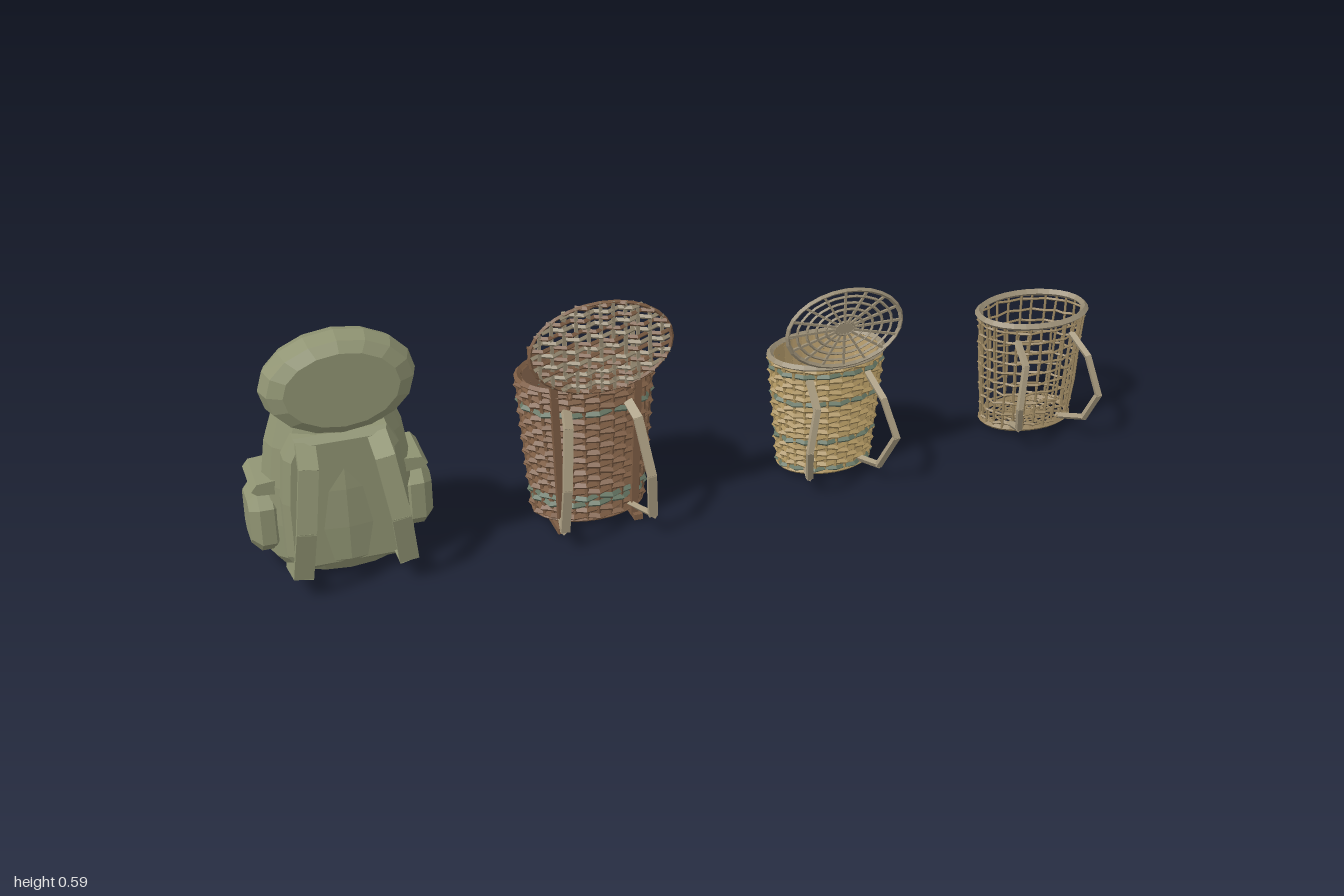
import * as THREE from 'three';

const V = (x, y, z) => new THREE.Vector3(x, y, z);
const paint = (name, color, side = THREE.FrontSide) => {
  const m = new THREE.MeshStandardMaterial({ color, side, flatShading: true });
  m.name = name;
  return m;
};
const M = {
  canvas: paint('green canvas', 0x909473),
  brown: paint('brown willow', 0x7d5d44),
  brownLining: paint('brown lining', 0x947156, THREE.DoubleSide),
  tan: paint('tan willow', 0xa88f5c),
  tanLining: paint('tan lining', 0xbda271, THREE.DoubleSide),
  wire: paint('dry cane', 0x94805c),
  rim: paint('grey cane', 0x988c74),
  strap: paint('strap leather', 0xa89b80),
  cord: paint('moss cord', 0x647462),
};

function add(parent, name, geo, mat, pos) {
  const mesh = new THREE.Mesh(geo, mat);
  mesh.name = name;
  if (pos) mesh.position.set(...pos);
  parent.add(mesh);
  return mesh;
}

let seed = 7;
const rnd = () => ((seed = (seed * 16807) % 2147483647) / 2147483647) - 0.5;

// Flat bar between two points: w across, t thick (aimed before it gets a parent)
function bar(parent, name, a, b, w, t, mat) {
  const m = new THREE.Mesh(new THREE.BoxGeometry(w, t, a.distanceTo(b) + t * 0.5), mat);
  m.name = name;
  m.up.set(0, 0, 1);
  m.position.copy(a).add(b).multiplyScalar(0.5);
  m.lookAt(b);
  parent.add(m);
}

// Thin cane with one segment per point
function cane(parent, name, pts, r, mat, closed = false) {
  const curve = new THREE.CatmullRomCurve3(pts, closed);
  curve.getUtoTmapping = u => u;
  const segments = closed ? pts.length : pts.length - 1;
  return add(parent, name, new THREE.TubeGeometry(curve, segments, r, 4, closed), mat);
}

// Oval hoop, weaving in and out by amp
function hoop(parent, name, rx, rz, y, r, mat, { n = 28, amp = 0, phase = 0, jitter = 0 } = {}) {
  const pts = [];
  for (let i = 0; i < n; i++) {
    const a = (i / n) * Math.PI * 2, d = ((i + phase) % 2 ? 1 : -1) * amp;
    pts.push(V((rx + d) * Math.cos(a), y + rnd() * jitter, (rz + d) * Math.sin(a)));
  }
  return cane(parent, name, pts, r, mat, true);
}

// Pair of shoulder straps; points are [sideways, y, z]
function straps(parent, pts, w, t, mat) {
  for (const s of [-1, 1]) {
    const g = new THREE.Group();
    g.name = s > 0 ? 'leftStrap' : 'rightStrap';
    parent.add(g);
    for (let i = 1; i < pts.length; i++) {
      const [p, q] = [pts[i - 1], pts[i]];
      bar(g, 'strapSegment', V(s * p[0], p[1], p[2]), V(s * q[0], q[1], q[2]), w, t, mat);
    }
  }
}

// Disc of concentric hoops and spokes, lying flat
function openDisc(parent, name, rx, rz, hoops, spokes, r, mat) {
  const g = new THREE.Group();
  g.name = name;
  parent.add(g);
  for (let i = 1; i <= hoops; i++)
    hoop(g, 'discHoop', rx * i / hoops, rz * i / hoops, 0, i === hoops ? r * 1.6 : r, mat);
  for (let i = 0; i < spokes; i++) {
    const a = (i / spokes) * Math.PI;
    const e = V(rx * Math.cos(a), 0, rz * Math.sin(a));
    bar(g, 'spoke', e, e.clone().negate(), r * 1.5, r * 1.5, mat);
  }
  return g;
}

// Tapered woven basket around its own axis
function basket(o) {
  const g = new THREE.Group();
  g.name = o.name;
  g.position.set(o.x, 0, o.z);
  const y0 = 0.022;
  const k = y => o.taper + (1 - o.taper) * (y - y0) / (o.top - y0);
  if (o.lining) {
    const inset = o.amp + o.weaveR * 0.9;
    const pts = [[0, y0 - 0.004], [o.taper, y0 - 0.004], [1, o.top]].map(p => new THREE.Vector2(...p));
    add(g, 'lining', new THREE.LatheGeometry(pts, 28), o.lining).scale.set(o.rx - inset, 1, o.rz - inset);
  }
  for (let i = 0; i < o.stakes; i++) {
    const a = (i / o.stakes) * Math.PI * 2, c = Math.cos(a), s = Math.sin(a);
    const pts = [0, 0.33, 0.67, 1].map(f => y0 + (o.top - y0) * f).map(y =>
      V(o.rx * k(y) * c + rnd() * o.jitter, y, o.rz * k(y) * s + rnd() * o.jitter));
    cane(g, 'stake', pts, o.r, o.stakeMat);
  }
  for (let i = 0; i < o.rows; i++) {
    const y = y0 + (o.top - y0) * (i + 0.4) / o.rows;
    hoop(g, 'weave', o.rx * k(y), o.rz * k(y), y, o.weaveR, o.cords.includes(i) ? M.cord : o.weaveMat,
      { n: o.stakes, amp: o.amp, phase: i % 2, jitter: o.jitter });
  }
  hoop(g, 'rim', o.rx, o.rz, o.top, o.rimR, o.rimMat);
  hoop(g, 'baseHoop', o.rx * o.taper, o.rz * o.taper, y0, o.rimR * 0.8, o.weaveMat);
  return g;
}

// Pouch with bevelled edges and a flap above it, facing +z
function pouch(parent, name, w, h, d, flapY) {
  const g = new THREE.Group();
  g.name = name;
  parent.add(g);
  const b = 0.02, x = w / 2 - b, y = h / 2 - b, c = 0.016;
  const shape = new THREE.Shape([[-x + c, -y], [x - c, -y], [x, -y + c], [x, y - c], [x - c, y],
    [-x + c, y], [-x, y - c], [-x, -y + c]].map(p => new THREE.Vector2(...p)));
  add(g, 'pouchBody', new THREE.ExtrudeGeometry(shape, {
    depth: d - b, bevelThickness: b, bevelSize: b, bevelSegments: 1 }), M.canvas);
  const flap = new THREE.Shape([[-0.02, 0], [d * 0.62, 0.004], [d * 0.85, 0.014], [d * 0.6, 0.03],
    [-0.02, 0.034]].map(p => new THREE.Vector2(...p)));
  const f = add(g, 'pouchFlap', new THREE.ExtrudeGeometry(flap, { depth: w * 0.9, bevelEnabled: false }), M.canvas);
  f.rotation.y = -Math.PI / 2;
  f.position.set(w * 0.45, flapY, 0);
  return g;
}

const lathe = (pts, n) => new THREE.LatheGeometry(pts.map(p => new THREE.Vector2(...p)), n);

function backpack() {
  const g = new THREE.Group();
  g.name = 'backpack';
  g.position.x = -0.802;
  // Barrel body with a shallow open mouth
  const body = add(g, 'body', lathe([[0, 0.02], [0.84, 0.02], [0.98, 0.05], [1, 0.13], [0.98, 0.22],
    [0.9, 0.31], [0.76, 0.378], [0.69, 0.378], [0.67, 0.345], [0, 0.345]], 16), M.canvas);
  body.scale.set(0.163, 1, 0.11);
  body.position.z = -0.016;
  // Padded panel against the wearer
  const panel = new THREE.Shape([[-0.1, 0.045], [0.1, 0.045], [0.118, 0.075], [0.118, 0.2], [0.108, 0.3],
    [0.09, 0.335], [-0.09, 0.335], [-0.108, 0.3], [-0.118, 0.2], [-0.118, 0.075]].map(p => new THREE.Vector2(...p)));
  add(g, 'backPanel', new THREE.ExtrudeGeometry(panel, { depth: 0.045, bevelThickness: 0.015,
    bevelSize: 0.014, bevelSegments: 1 }), M.canvas, [0, 0, 0.027]);
  // Lid standing open, hollow towards the rear
  const lid = add(g, 'lid', lathe([[0, 0.1], [0.74, 0.1], [0.82, 0.066], [0.94, 0.066], [1, 0.092],
    [0.93, 0.13], [0.74, 0.147], [0, 0.147]], 16), M.canvas);
  lid.rotation.x = Math.PI / 2;
  lid.scale.set(0.162, 1, 0.112);
  lid.position.y = 0.483;
  // Pouches
  const rear = pouch(g, 'rearPouch', 0.2, 0.15, 0.05, 0.078);
  rear.position.set(0, 0.144, -0.115);
  rear.rotation.y = Math.PI;
  for (const s of [-1, 1]) {
    const p = pouch(g, s > 0 ? 'leftPouch' : 'rightPouch', 0.13, 0.14, 0.05, 0.073);
    p.position.set(s * 0.146, 0.13, -0.025);
    p.rotation.y = s * Math.PI / 2;
  }
  straps(g, [[0.075, 0.335, 0.08], [0.08, 0.303, 0.13], [0.1, 0.17, 0.158], [0.112, 0.058, 0.142],
    [0.115, 0.045, 0.07]], 0.042, 0.01, M.canvas);
  return g;
}

function brownBasket() {
  const g = basket({ name: 'brownBasket', x: -0.246, z: -0.02, rx: 0.15, rz: 0.104, taper: 0.82, top: 0.352,
    rows: 20, stakes: 28, r: 0.005, weaveR: 0.0075, amp: 0.004, jitter: 0.004, rimR: 0.007,
    lining: M.brownLining, stakeMat: M.brown, weaveMat: M.brown, rimMat: M.brown, cords: [2, 3, 16] });
  // Corner posts and runners
  for (const s of [-1, 1]) {
    for (const f of [-1, 1])
      bar(g, 'post', V(s * 0.083, 0.015, f * 0.078), V(s * 0.095, 0.375, f * 0.084), 0.016, 0.016, M.brown);
    bar(g, 'runner', V(s * 0.088, 0.013, 0.096), V(s * 0.088, 0.008, 0), 0.02, 0.013, M.brown);
    bar(g, 'runner', V(s * 0.088, 0.008, 0), V(s * 0.088, 0.013, -0.096), 0.02, 0.013, M.brown);
  }
  // Woven lid standing upright, brown and grey canes alternating
  const lid = new THREE.Group();
  lid.name = 'wovenLid';
  lid.position.set(0, 0.468, 0.132);
  g.add(lid);
  const rx = 0.157, ry = 0.104, rows = 15;
  for (let i = 0; i < rows; i++) {
    const y = ry * 0.94 * (2 * i / (rows - 1) - 1), half = rx * Math.sqrt(1 - (y / ry) ** 2);
    const n = Math.max(5, Math.round(half / 0.0125)), pts = [];
    for (let j = 0; j <= n; j++)
      pts.push(V(half * (2 * j / n - 1), y, ((i + j) % 2 ? 1 : -1) * 0.007));
    cane(lid, 'lidWeave', pts, 0.0055, i % 2 ? M.rim : M.brown);
  }
  for (let i = -5; i <= 5; i++) {
    const x = i * 0.027, h = ry * Math.sqrt(1 - (x / rx) ** 2);
    bar(lid, 'lidRib', V(x, -h, 0), V(x, h, 0), 0.007, 0.007, M.rim);
  }
  hoop(lid, 'lidEdge', rx, ry, 0, 0.0045, M.brown).rotation.x = Math.PI / 2;
  for (const s of [-1, 1]) {
    bar(lid, 'lidBatten', V(s * 0.075, -0.085, -0.017), V(s * 0.075, 0.085, -0.017), 0.009, 0.007, M.strap);
    const hinge = add(lid, 'hingeLoop', new THREE.TorusGeometry(0.008, 0.003, 4, 8), M.brown, [s * 0.07, -0.106, -0.004]);
    hinge.rotation.y = Math.PI / 2;
  }
  straps(g, [[0.07, 0.305, 0.095], [0.078, 0.285, 0.135], [0.095, 0.16, 0.174], [0.1, 0.055, 0.163],
    [0.08, 0.035, 0.075]], 0.02, 0.011, M.strap);
  return g;
}

function tanBasket() {
  const g = basket({ name: 'tanBasket', x: 0.327, z: -0.025, rx: 0.133, rz: 0.09, taper: 0.81, top: 0.298,
    rows: 19, stakes: 28, r: 0.004, weaveR: 0.0065, amp: 0.0035, jitter: 0.004, rimR: 0.008,
    lining: M.tanLining, stakeMat: M.tan, weaveMat: M.tan, rimMat: M.rim, cords: [0, 5, 12, 17] });
  // Open hooped lid standing upright
  const lid = openDisc(g, 'hoopedLid', 0.136, 0.092, 6, 8, 0.0034, M.rim);
  lid.rotation.x = Math.PI / 2;
  lid.position.set(0, 0.398, 0.098);
  straps(g, [[0.07, 0.265, 0.075], [0.08, 0.23, 0.145], [0.105, 0.14, 0.17], [0.085, 0.048, 0.125],
    [0.065, 0.035, 0.06]], 0.014, 0.011, M.strap);
  return g;
}

function openBasket() {
  const g = basket({ name: 'openBasket', x: 0.86, z: -0.052, rx: 0.131, rz: 0.089, taper: 0.83, top: 0.298,
    rows: 10, stakes: 26, r: 0.0034, weaveR: 0.0034, amp: 0.003, jitter: 0.006, rimR: 0.009,
    stakeMat: M.wire, weaveMat: M.wire, rimMat: M.rim, cords: [] });
  openDisc(g, 'openBase', 0.108, 0.073, 6, 9, 0.003, M.wire).position.y = 0.022;
  straps(g, [[0.07, 0.257, 0.072], [0.08, 0.228, 0.137], [0.102, 0.135, 0.163], [0.085, 0.065, 0.135],
    [0.062, 0.032, 0.055]], 0.013, 0.011, M.strap);
  return g;
}

export function createModel() {
  const model = new THREE.Group();
  model.name = 'carryBasketSet';
  model.add(backpack(), brownBasket(), tanBasket(), openBasket());
  return model;
}
